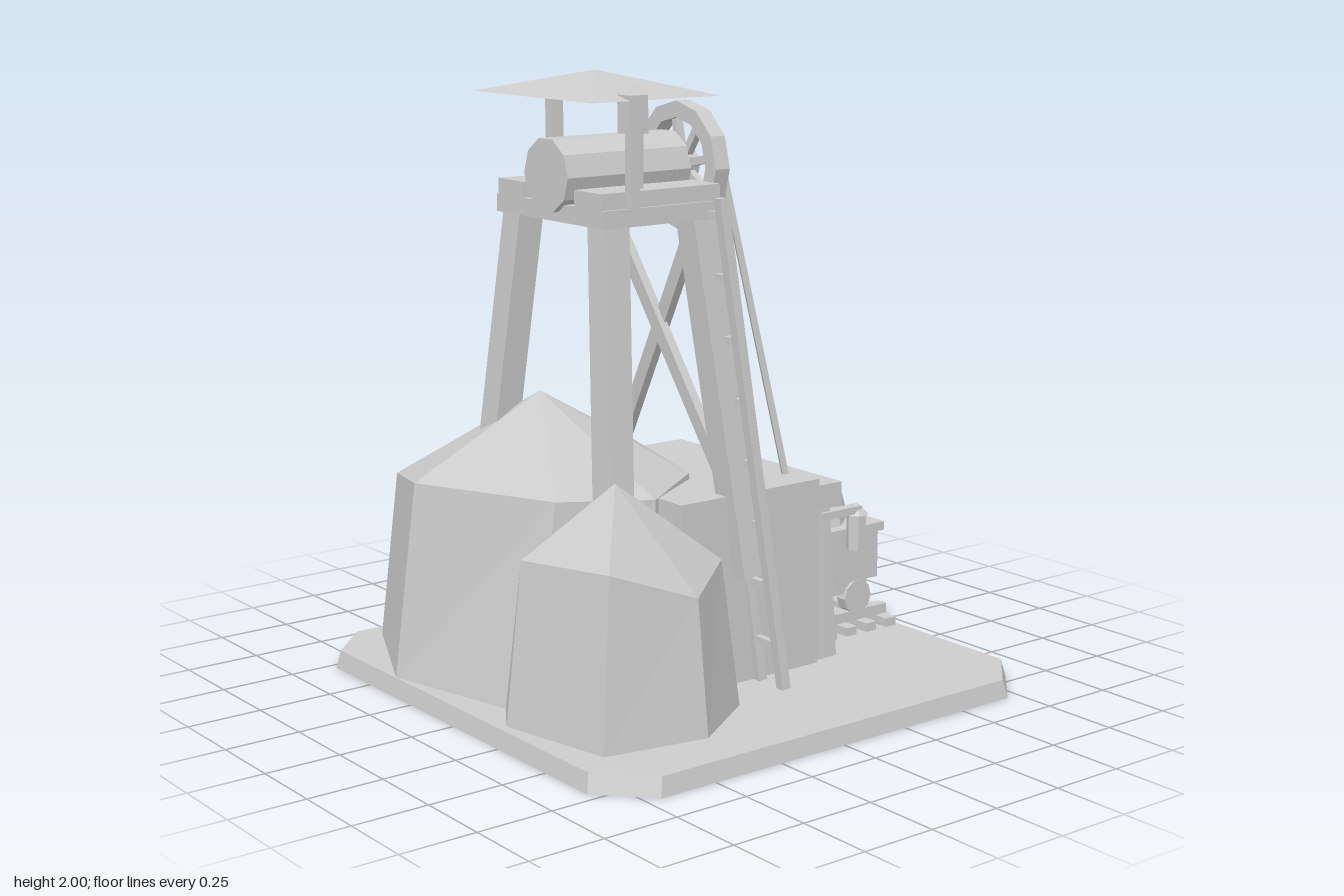
import * as THREE from 'three';

const stone = new THREE.MeshStandardMaterial({ color: 0xcccccc, flatShading: true, side: THREE.DoubleSide });
stone.name = 'light grey';

export function createModel() {
  const model = new THREE.Group();
  model.name = 'mineHeadframe';

  const add = (name, geometry, x = 0, y = 0, z = 0) => {
    const mesh = new THREE.Mesh(geometry, stone);
    mesh.name = name;
    mesh.position.set(x, y, z);
    model.add(mesh);
    return mesh;
  };
  // Box given by its limits on each axis
  const box = (name, x0, x1, y0, y1, z0, z1) =>
    add(name, new THREE.BoxGeometry(x1 - x0, y1 - y0, z1 - z0), (x0 + x1) / 2, (y0 + y1) / 2, (z0 + z1) / 2);
  // Square bar running between two points
  const beam = (name, a, b, w, d = w) => {
    const p = new THREE.Vector3(...a), q = new THREE.Vector3(...b);
    const mesh = add(name, new THREE.BoxGeometry(w, p.distanceTo(q), d), ...p.clone().add(q).multiplyScalar(0.5));
    mesh.quaternion.setFromUnitVectors(new THREE.Vector3(0, 1, 0), q.sub(p).normalize());
    return mesh;
  };
  const fromTriangles = (pos) => {
    const g = new THREE.BufferGeometry();
    g.setAttribute('position', new THREE.Float32BufferAttribute(pos, 3));
    g.computeVertexNormals();
    return g;
  };
  // Faceted solid, open below: each row is foot x, foot z, shoulder x, y, z; the peak closes it
  const rock = (name, floor, rows, peak) => {
    const pos = [];
    rows.forEach((r, i) => {
      const n = rows[(i + 1) % rows.length];
      const a = [r[0], floor, r[1]], b = [n[0], floor, n[1]], c = n.slice(2), d = r.slice(2);
      pos.push(...a, ...b, ...c, ...a, ...c, ...d, ...d, ...c, ...peak);
    });
    add(name, fromTriangles(pos));
  };
  // Faceted solid built from a polygon outline, narrowing toward the top
  const lump = (name, outline, cx, cz, y0, y1, y2, k) =>
    rock(name, y0, outline.map(([x, z]) => [x, z, cx + (x - cx) * k, y1, cz + (z - cz) * k]), [cx, y2, cz]);
  // Four-sided pyramid
  const pyramid = (name, x0, x1, y0, y1, z0, z1) => {
    const g = new THREE.ConeGeometry(Math.SQRT1_2, 1, 4);
    g.rotateY(Math.PI / 4);
    g.scale(x1 - x0, y1 - y0, z1 - z0);
    add(name, g, (x0 + x1) / 2, (y0 + y1) / 2, (z0 + z1) / 2);
  };

  // Chamfered ground slab with slightly sloping edges, hollow underneath
  lump('groundSlab', [[-0.72, 0.85], [0.71, 0.85], [0.865, 0.7], [0.865, -0.7], [0.71, -0.85], [-0.72, -0.85], [-0.87, -0.7], [-0.87, 0.7]],
    0, 0, 0, 0.06, 0.06, 0.985);

  // Boulders
  rock('largeRock', 0.06, [
    [-0.79, 0.63, -0.725, 0.63, 0.595], [-0.36, 0.835, -0.36, 0.69, 0.75],
    [0.2, 0.7, 0.18, 0.71, 0.58], [0.3, 0.3, 0.25, 0.68, 0.25],
    [0.12, -0.05, 0.1, 0.7, 0], [-0.3, -0.1, -0.3, 0.73, -0.075],
    [-0.56, -0.12, -0.54, 0.69, -0.1], [-0.81, 0.18, -0.73, 0.67, 0.075],
  ], [-0.16, 0.98, 0.4]);
  rock('smallRock', 0.06, [
    [0.115, 0.73, 0.12, 0.51, 0.67], [0.24, 0.81, 0.24, 0.57, 0.75],
    [0.63, 0.73, 0.59, 0.59, 0.68], [0.69, 0.39, 0.64, 0.48, 0.39],
    [0.52, 0.13, 0.49, 0.53, 0.18], [0.25, 0.12, 0.27, 0.6, 0.2], [0.1, 0.4, 0.15, 0.6, 0.4],
  ], [0.39, 0.8, 0.51]);
  lump('rubble', [[-0.66, -0.67], [-0.51, -0.55], [-0.32, -0.58], [-0.29, -0.69], [-0.38, -0.81], [-0.58, -0.83]], -0.46, -0.69, 0.03, 0.16, 0.2, 0.8);
  lump('rubbleTop', [[-0.61, -0.66], [-0.53, -0.605], [-0.46, -0.64], [-0.47, -0.71], [-0.55, -0.74], [-0.61, -0.71]], -0.54, -0.67, 0.14, 0.2, 0.23, 0.8);

  // Mine entrance block and timber portal
  box('mineBlock', -0.37, 0.355, 0.06, 0.68, -0.335, 0.23);
  box('portalLintel', -0.37, 0.335, 0.57, 0.65, -0.45, -0.33);
  for (const s of [-1, 1]) beam('portalPost', [-0.018 + s * 0.32, 0.06, -0.39], [-0.018 + s * 0.29, 0.57, -0.38], 0.08);

  // Lantern on a bracket beside the portal
  box('lanternBracket', 0.285, 0.325, 0.525, 0.55, -0.55, -0.38);
  add('lantern', new THREE.CylinderGeometry(0.034, 0.034, 0.12, 6), 0.305, 0.46, -0.545);
  add('lanternCap', new THREE.ConeGeometry(0.043, 0.04, 6), 0.305, 0.54, -0.545);

  // Shed with a gently sloping roof
  box('shedPlinth', -0.86, -0.44, 0.055, 0.13, -0.37, 0.28);
  box('shedWalls', -0.84, -0.45, 0.06, 0.53, -0.35, 0.27);
  box('shedRoofSlab', -0.87, -0.37, 0.53, 0.575, -0.38, 0.29);
  const wedge = new THREE.Shape([[0.32, 0.575], [-0.2, 0.575], [-0.2, 0.68]].map(([x, y]) => new THREE.Vector2(x, y)));
  add('shedRoofSlope', new THREE.ExtrudeGeometry(wedge, { depth: 0.38, bevelEnabled: false }).rotateY(Math.PI / 2), -0.82);
  box('shedDoor', -0.74, -0.62, 0.06, 0.4, -0.375, -0.34);
  box('doorLintel', -0.78, -0.58, 0.4, 0.43, -0.425, -0.34);
  box('doorStep', -0.78, -0.58, 0.06, 0.1, -0.425, -0.34);
  for (const x of [-0.76, -0.6]) box('doorFrame', x - 0.018, x + 0.018, 0.06, 0.4, -0.39, -0.34);
  box('shedWindow', -0.53, -0.505, 0.25, 0.4, -0.37, -0.35);

  // Track and ore cart
  for (let i = 0; i < 5; i++) box('sleeper', -0.235, 0.212, 0.055, 0.09, -0.82 + i * 0.09, -0.775 + i * 0.09);
  for (const x of [-0.163, 0.14]) {
    box('rail', x - 0.018, x + 0.018, 0.09, 0.125, -0.825, -0.38);
    for (const z of [-0.475, -0.69])
      add('cartWheel', new THREE.CylinderGeometry(0.06, 0.06, 0.04, 10).rotateZ(Math.PI / 2), x, 0.172, z);
  }
  for (const z of [-0.475, -0.69]) box('cartAxle', -0.163, 0.14, 0.16, 0.19, z - 0.015, z + 0.015);
  box('cartChassis', -0.17, 0.15, 0.19, 0.24, -0.74, -0.45);
  box('cartBody', -0.205, 0.185, 0.24, 0.41, -0.755, -0.43);
  box('cartRim', -0.22, 0.2, 0.405, 0.435, -0.77, -0.425);
  lump('oreLoad', [[-0.19, -0.55], [-0.09, -0.455], [0.1, -0.455], [0.155, -0.55], [0.16, -0.61], [0.06, -0.73], [-0.11, -0.73], [-0.19, -0.66]], -0.02, -0.59, 0.43, 0.525, 0.565, 0.84);

  // Tower legs and cross braces
  for (const s of [-1, 1]) {
    beam('frontLeg', [0.02 + s * 0.355, 0.42, 0.5], [0.02 + s * 0.22, 1.6, 0.42], 0.09);
    beam('backLeg', [0.02 + s * 0.355, 0.42, -0.015], [0.02 + s * 0.22, 1.6, 0.095], 0.09, 0.085);
    beam('crossBrace', [0.02 + s * 0.29, 0.72, 0.012 + s * 0.01], [0.02 - s * 0.2, 1.52, 0.085 + s * 0.01], 0.048, 0.03);
  }

  // Winding platform
  box('platform', -0.27, 0.3, 1.55, 1.605, 0.03, 0.48);
  for (const [x0, x1] of [[-0.26, -0.12], [0.15, 0.29]]) box('platformBeam', x0, x1, 1.605, 1.655, 0.03, 0.48);
  for (const x of [-0.045, 0.09]) box('bearing', x - 0.025, x + 0.025, 1.6, 1.72, 0.005, 0.06);
  box('cableGuide', 0.08, 0.14, 1.48, 1.58, 0.003, 0.032);

  // Winch drum, axle and spoked wheel
  const cy = 1.69, cx = 0.03;
  add('winchDrum', new THREE.CylinderGeometry(0.116, 0.116, 0.47, 10).rotateY(Math.PI / 2).rotateX(Math.PI / 2), cx, cy, 0.265);
  add('axle', new THREE.CylinderGeometry(0.03, 0.03, 0.13, 8).rotateX(Math.PI / 2), cx, cy, -0.01);
  add('wheelHub', new THREE.CylinderGeometry(0.05, 0.05, 0.06, 12).rotateX(Math.PI / 2), cx, cy, -0.028);
  const ring = (r) => Array.from({ length: 12 }, (_, i) => new THREE.Vector2(r * Math.cos(i * Math.PI / 6), r * Math.sin(i * Math.PI / 6)));
  const rim = new THREE.Shape(ring(0.202));
  rim.holes.push(new THREE.Path(ring(0.15)));
  add('wheelRim', new THREE.ExtrudeGeometry(rim, { depth: 0.056, bevelEnabled: false }), cx, cy, -0.056);
  for (let i = 0; i < 4; i++) {
    const spoke = add('wheelSpoke', new THREE.BoxGeometry(0.32, 0.025, 0.025), cx, cy, -0.028);
    spoke.rotation.z = (i * Math.PI) / 4 + 0.2;
  }
  beam('cable', [0.18, 1.72, -0.06], [0.235, 0.67, -0.295], 0.02);

  // Canopy on two posts
  for (const x of [-0.19, 0.228]) box('canopyPost', x - 0.017, x + 0.017, 1.6, 1.94, 0.29, 0.335);
  pyramid('canopyRoof', -0.3, 0.33, 1.928, 2, 0.062, 0.543);

  // Lamp on a pole at the platform corner
  box('lampPole', 0.285, 0.317, 1.6, 1.83, 0.357, 0.39);
  box('lamp', 0.268, 0.334, 1.83, 1.945, 0.34, 0.405);
  pyramid('lampCap', 0.26, 0.342, 1.945, 1.985, 0.332, 0.413);

  // Ladder leaning beside the right legs
  const railAt = (x, t) => [x - 0.13 * t, 0.06 + 1.56 * t, -0.08 + 0.16 * t];
  for (const x of [0.37, 0.485]) beam('ladderRail', railAt(x, 0), railAt(x, 1), 0.032);
  for (let i = 0; i < 8; i++) {
    const t = 0.09 + i * 0.125;
    beam('ladderRung', railAt(0.37, t), railAt(0.485, t), 0.022);
  }

  return model;
}
